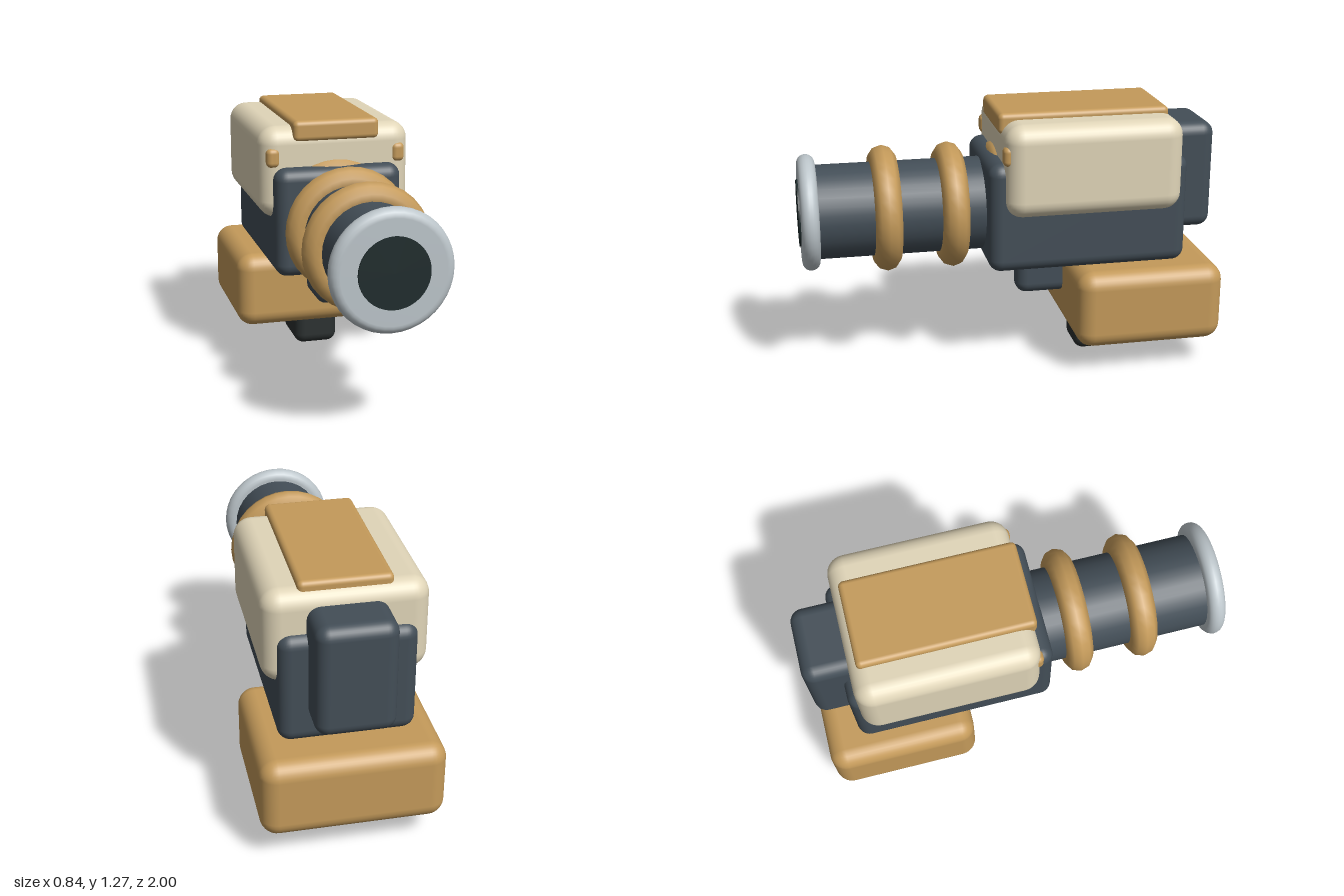
import * as THREE from 'three';
import { RoundedBoxGeometry } from 'three/addons/geometries/RoundedBoxGeometry.js';

const mat = (color) => new THREE.MeshStandardMaterial({ color });

export function createModel() {
  const model = new THREE.Group();
  const gold = mat(0xc49a5a), cream = mat(0xe0d5b8), slate = mat(0x434e57);
  const charcoal = mat(0x2b3030), silver = mat(0xbcc5ca), black = mat(0x1e2b2c);
  const axisY = 0.785; // height of the barrel axis

  const add = (name, geometry, material, x = 0, y = 0, z = 0) => {
    const mesh = new THREE.Mesh(geometry, material);
    mesh.name = name;
    mesh.position.set(x, y, z);
    model.add(mesh);
    return mesh;
  };

  // Rounded box given by its extents on each axis
  const box = (name, material, [x0, x1], [y0, y1], [z0, z1], radius) =>
    add(name, new RoundedBoxGeometry(x1 - x0, y1 - y0, z1 - z0, 4, radius), material,
      (x0 + x1) / 2, (y0 + y1) / 2, (z0 + z1) / 2);

  // Housing, cover and rear block
  box('body', slate, [-0.31, 0.31], [0.52, 1.05], [-0.83, 0.13], 0.06);
  box('upperCover', cream, [-0.37, 0.37], [0.795, 1.24], [-0.79, 0.06], 0.085);
  box('topPlate', gold, [-0.21, 0.21], [1.17, 1.27], [-0.75, 0.07], 0.025);
  box('rearBlock', slate, [-0.18, 0.18], [0.64, 1.17], [-1, -0.7], 0.06);

  // Base, foot and front grip
  box('base', gold, [-0.42, 0.42], [0.135, 0.518], [-1, -0.28], 0.08);
  box('foot', charcoal, [-0.112, 0.112], [0, 0.25], [-0.64, -0.34], 0.05);
  box('frontGrip', slate, [-0.065, 0.065], [0.305, 0.62], [-0.45, -0.05], 0.055);

  // Small studs on the front of the cover
  for (const side of [-1, 1]) {
    const stud = box('stud', gold, [-0.0325, 0.0325], [1.05, 1.143], [0, 0.07], 0.025);
    stud.position.x = side * 0.308;
  }

  // Barrel
  const barrel = new THREE.CylinderGeometry(0.225, 0.225, 0.83, 32).rotateX(Math.PI / 2);
  add('barrel', barrel, slate, 0, axisY, 0.515);

  // Rings round the barrel, the last one half sunk in the body
  for (const z of [0.03, 0.275, 0.59]) {
    add('barrelRing', new THREE.TorusGeometry(0.237, 0.065, 10, 32), gold, 0, axisY, z);
  }

  // Muzzle disc with a rounded rim
  const profile = [new THREE.Vector2(0, -0.042)];
  for (let i = 0; i <= 10; i++) {
    const a = -Math.PI / 2 + (Math.PI * i) / 10;
    profile.push(new THREE.Vector2(0.235 + 0.042 * Math.cos(a), 0.042 * Math.sin(a)));
  }
  profile.push(new THREE.Vector2(0, 0.042));
  add('muzzle', new THREE.LatheGeometry(profile, 40).rotateX(Math.PI / 2), silver, 0, axisY, 0.95);

  // Dark bore opening
  const bore = new THREE.CylinderGeometry(0.16, 0.16, 0.04, 40).rotateX(Math.PI / 2);
  add('bore', bore, black, 0, axisY, 0.98);

  return model;
}
